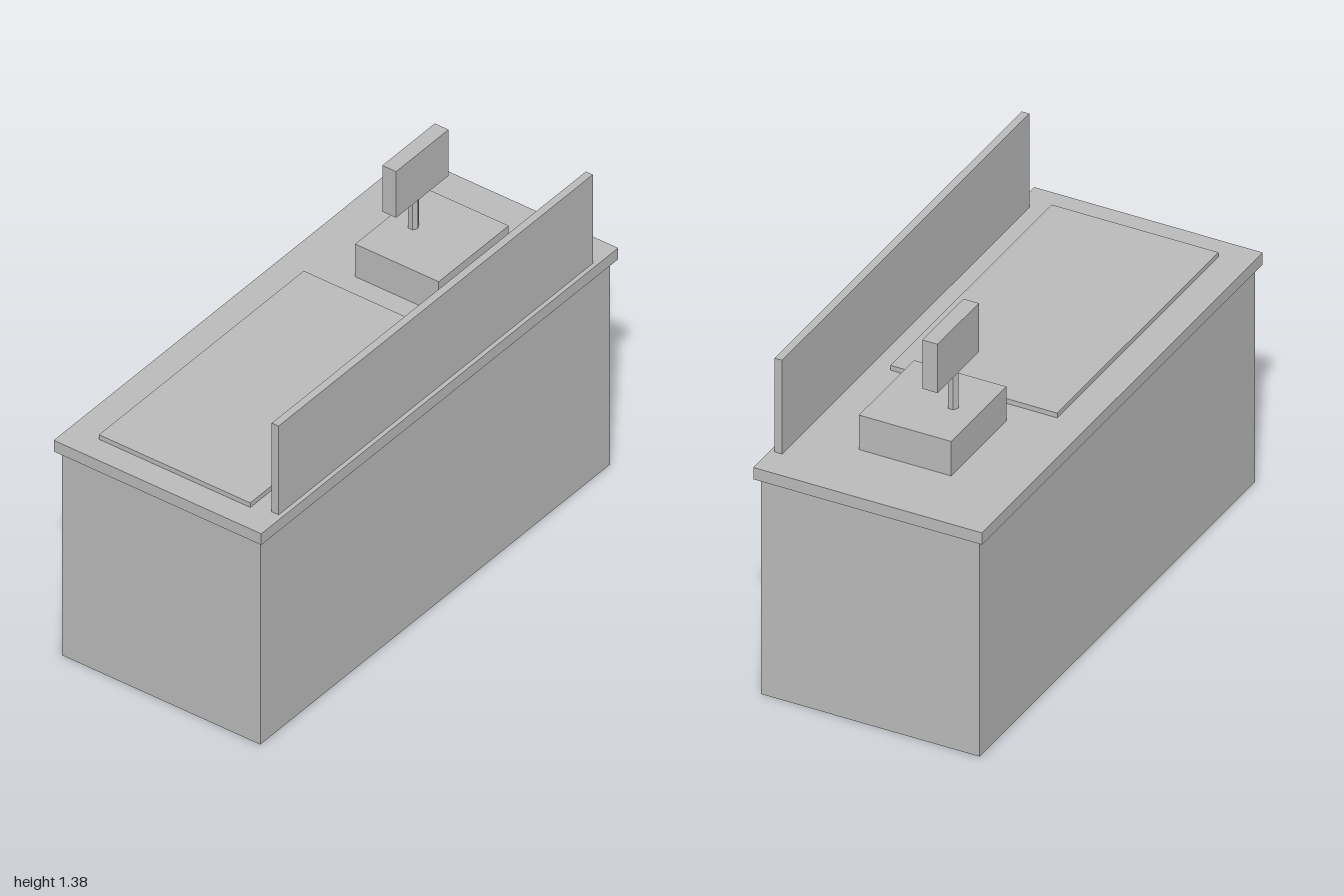
import * as THREE from 'three';

export function createModel() {
  const group = new THREE.Group();
  const grey = new THREE.MeshStandardMaterial({ name: 'plain grey', color: 0xbbbbbb, flatShading: true });

  const add = (name, geometry, x, y, z) => {
    const mesh = new THREE.Mesh(geometry, grey);
    mesh.name = name;
    mesh.position.set(x, y, z);
    group.add(mesh);
  };
  // Box given by its lower and upper limits on each axis
  const box = (name, [x0, x1], [y0, y1], [z0, z1]) =>
    add(name, new THREE.BoxGeometry(x1 - x0, y1 - y0, z1 - z0),
      (x0 + x1) / 2, (y0 + y1) / 2, (z0 + z1) / 2);

  // Counter
  box('counterBody', [-0.98, 0.98], [0, 0.86], [-0.417, 0.417]);
  box('counterTop', [-1, 1], [0.86, 0.907], [-0.436, 0.436]);

  // Upright panel along the front edge and low mat behind it
  box('frontPanel', [-0.88, 0.88], [0.907, 1.28], [0.39, 0.419]);
  box('counterMat', [-0.904, 0.243], [0.907, 0.926], [-0.318, 0.318]);

  // Register with a screen on a six-sided post
  box('registerBase', [0.341, 0.733], [0.907, 1.044], [-0.176, 0.176]);
  add('screenPost', new THREE.CylinderGeometry(0.02, 0.02, 0.145, 6), 0.537, 1.1165, -0.078);
  box('screen', [0.39, 0.684], [1.186, 1.38], [-0.098, -0.04]);

  return group;
}
